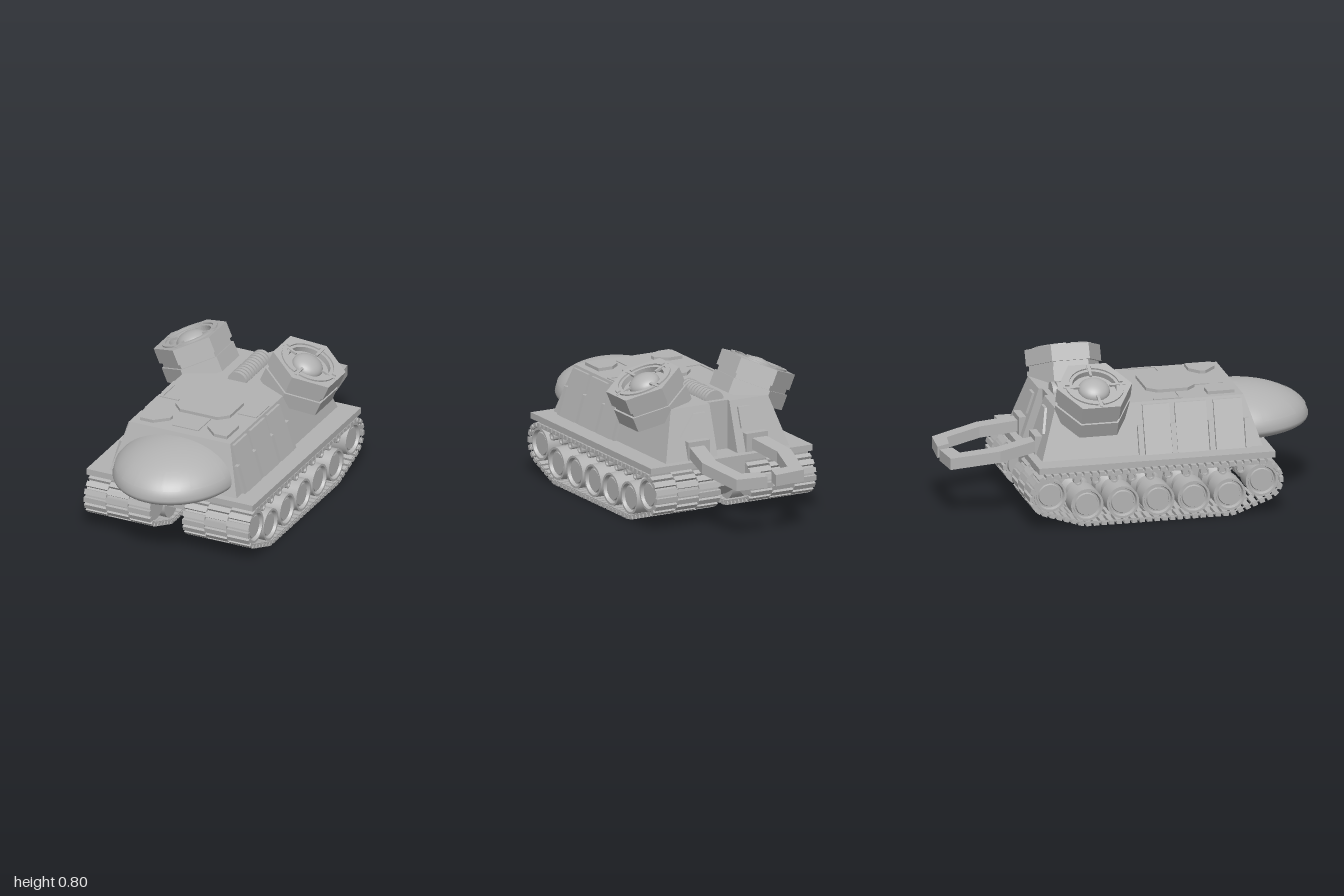
import * as THREE from 'three';
import { mergeGeometries, toCreasedNormals } from 'three/addons/utils/BufferGeometryUtils.js';

const grey = new THREE.MeshStandardMaterial({ color: 0xb2b2b2 });
grey.name = 'plain grey';

function add(parent, name, geometry) {
  const mesh = new THREE.Mesh(geometry, grey);
  mesh.name = name;
  parent.add(mesh);
  return mesh;
}

const box = (w, h, d, x, y, z) => new THREE.BoxGeometry(w, h, d).translate(x, y, z);
const flip = (range, s) => (s > 0 ? range : [-range[1], -range[0]]);

// Box whose bottom and top rectangles differ
function taperedBox(y0, y1, bx, bz, tx, tz) {
  const g = new THREE.BoxGeometry(1, 1, 1), p = g.attributes.position;
  for (let i = 0; i < p.count; i++) {
    const top = p.getY(i) > 0, xs = top ? tx : bx, zs = top ? tz : bz;
    p.setXYZ(i, xs[p.getX(i) > 0 ? 1 : 0], top ? y1 : y0, zs[p.getZ(i) > 0 ? 1 : 0]);
  }
  g.computeVertexNormals();
  return g;
}

// Flat plate from an outline in x and z
function plate(points, y, height, s = 1) {
  const shape = new THREE.Shape(points.map(([x, z]) => new THREE.Vector2(s * x, -z)));
  return new THREE.ExtrudeGeometry(shape, { depth: height, bevelEnabled: false })
    .rotateX(-Math.PI / 2).translate(0, y, 0);
}

// Lathe profile of [radius, x] turned onto the x axis
function axleLathe(points, s, segments) {
  const g = new THREE.LatheGeometry(points.map(([r, h]) => new THREE.Vector2(r, h)), segments);
  return toCreasedNormals(g.rotateZ(-s * Math.PI / 2), 0.6);
}

// Track loop in z and y around the end wheels and the low wheels
function trackLoop(r, Type) {
  const path = new Type(), down = -Math.PI / 2;
  path.absarc(0.64, 0.18, r, Math.PI / 2, -1.2, true);
  path.absarc(0.465, 0.115, r, -1.2, down, true);
  path.absarc(-0.31, 0.115, r, down, -1.89, true);
  path.absarc(-0.51, 0.18, r, -1.89, -1.5 * Math.PI, true);
  path.closePath();
  return path;
}

function buildRunningGear(root, s) {
  const gear = new THREE.Group();
  gear.name = s > 0 ? 'leftTrack' : 'rightTrack';
  root.add(gear);

  // Continuous belt
  const loop = trackLoop(0.1, THREE.Shape);
  loop.holes.push(trackLoop(0.09, THREE.Path));
  const belt = new THREE.ExtrudeGeometry(loop, { depth: 0.38, bevelEnabled: false, curveSegments: 12 })
    .rotateY(-Math.PI / 2).translate(s > 0 ? 0.48 : -0.1, 0, 0);
  add(gear, 'trackBelt', toCreasedNormals(belt, 0.5));

  // Three staggered columns of links
  const n = 144, pts = trackLoop(0.105, THREE.Path).getSpacedPoints(n), links = [];
  for (let col = 0; col < 3; col++) {
    for (let i = col % 2; i < n; i += 2) {
      const a = pts[(i + n - 1) % n], b = pts[(i + 1) % n];
      links.push(new THREE.BoxGeometry(0.129, 0.02, 0.028)
        .rotateX(-Math.atan2(b.y - a.y, b.x - a.x))
        .translate(s * (0.16 + col * 0.13), pts[i].y, pts[i].x));
    }
  }
  add(gear, 'trackLinks', mergeGeometries(links));

  // Road wheels with dished faces
  const profile = [[0, 0.11], [0.082, 0.11], [0.082, 0.2], [0.06, 0.23], [0.06, 0.32], [0.088, 0.35],
    [0.088, 0.475], [0.076, 0.475], [0.07, 0.455], [0.062, 0.455], [0.058, 0.465], [0, 0.465]];
  const wheels = [[0.64, 0.18], [0.465, 0.115], [0.27, 0.115], [0.077, 0.115],
    [-0.115, 0.115], [-0.31, 0.115], [-0.51, 0.18]];
  for (const [z, y] of wheels) add(gear, 'wheel', axleLathe(profile, s, 32)).position.set(0, y, z);

  // Small return rollers
  const roller = [[0, 0.11], [0.016, 0.11], [0.016, 0.42], [0.023, 0.43], [0.023, 0.465],
    [0.015, 0.465], [0.013, 0.455], [0, 0.455]];
  for (let i = 0; i < 10; i++) {
    add(gear, 'returnRoller', axleLathe(roller, s, 14)).position.set(0, 0.247, 0.53 - i * 0.0985);
  }
}

function hexShape(r) {
  const pts = [];
  for (let i = 0; i < 6; i++) {
    const a = Math.PI / 2 + i * Math.PI / 3;
    pts.push(new THREE.Vector2(r * Math.cos(a), r * Math.sin(a)));
  }
  return new THREE.Shape(pts);
}

function buildPod(root, s) {
  const pod = new THREE.Group();
  pod.name = s > 0 ? 'leftPod' : 'rightPod';
  pod.position.set(s * 0.352, 0.73, -0.24);
  pod.rotation.z = -s * 0.407;
  root.add(pod);
  const up = (g, y) => g.rotateX(-Math.PI / 2).translate(0, y, 0);
  const flat = { bevelEnabled: false, curveSegments: 24 };

  // Upper housing with a round well
  const head = hexShape(0.205);
  head.holes.push(new THREE.Path().absarc(0, 0, 0.118, 0, Math.PI * 2, true));
  add(pod, 'podHeadRim', up(new THREE.ExtrudeGeometry(head, { ...flat, depth: 0.03 }), -0.03));
  add(pod, 'podHead', up(new THREE.ExtrudeGeometry(hexShape(0.205), { ...flat, depth: 0.057 }), -0.087));
  add(pod, 'podNeck', up(new THREE.ExtrudeGeometry(hexShape(0.19), { ...flat, depth: 0.04 }), -0.122));
  add(pod, 'podBase', up(new THREE.ExtrudeGeometry(hexShape(0.203), { ...flat, depth: 0.085 }), -0.2));

  // Domed lens
  add(pod, 'lens', new THREE.SphereGeometry(0.085, 28, 10, 0, Math.PI * 2, 0, Math.PI / 2)
    .scale(1, 0.62, 1).translate(0, -0.03, 0));

  // Four ring arcs and spokes
  for (let i = 0; i < 4; i++) {
    const a = i * Math.PI / 2, arc = new THREE.Shape();
    arc.absarc(0, 0, 0.157, a + 0.09, a + Math.PI / 2 - 0.09, false);
    arc.absarc(0, 0, 0.135, a + Math.PI / 2 - 0.09, a + 0.09, true);
    add(pod, 'ringArc', up(new THREE.ExtrudeGeometry(arc, { ...flat, depth: 0.01 }), -0.001));
    add(pod, 'spoke', box(0.085, 0.012, 0.014, 0.125, -0.002, 0).rotateY(a));
  }
}

// Part of the cockpit shell, angles measured from straight ahead
function shell(from, to, top, bottom, k) {
  const g = new THREE.SphereGeometry(1, Math.ceil((to - from) * 9) + 2, Math.ceil((bottom - top) * 12) + 2,
    Math.PI + from, to - from, top, bottom - top).rotateY(-Math.PI / 2);
  const p = g.attributes.position;
  for (let i = 0; i < p.count; i++) {
    const y = p.getY(i), v = y > 0 ? 0.185 * y : -0.085 * Math.pow(-y, 0.9);
    p.setXYZ(i, p.getX(i) * 0.335 * k, 0.4 + v * k, 0.6 + p.getZ(i) * 0.4 * k);
  }
  g.computeVertexNormals();
  return g;
}

function buildSide(root, s) {
  const name = s > 0 ? 'left' : 'right';
  // Hull half, beside the rear notch
  add(root, name + 'Hull', taperedBox(0.335, 0.605, flip([0.06, 0.375], s), [-0.53, 0.67],
    flip([0.06, 0.295], s), [-0.44, 0.585]));

  // Sloping side panels and short ribs
  for (const [z0, z1] of [[0.415, 0.57], [0.205, 0.375], [0.03, 0.175]]) {
    add(root, name + 'SidePanel', taperedBox(0.34, 0.592, flip([0.36, 0.395], s), [z0, z1],
      flip([0.28, 0.312], s), [z0, z1]));
  }
  for (const z of [0.59, 0.395, 0.19, 0.01]) {
    add(root, name + 'SideRib', taperedBox(0.34, 0.49, flip([0.36, 0.392], s), [z - 0.014, z + 0.014],
      flip([0.31, 0.348], s), [z - 0.014, z + 0.014]));
  }

  // Roof plate, roof strips and rear panel
  add(root, name + 'RoofPlate', plate([[0.17, 0.4], [0.255, 0.4], [0.255, 0.545], [0.18, 0.545],
    [0.11, 0.48], [0.11, 0.45]], 0.6, 0.022, s));
  add(root, name + 'RoofStrip', plate([[0.27, 0.1], [0.285, 0.1], [0.285, 0.255], [0.175, 0.255],
    [0.175, 0.242], [0.27, 0.242]], 0.602, 0.008, s));
  add(root, name + 'RearPanel', taperedBox(0.46, 0.57, flip([0.1, 0.27], s), [-0.503, -0.47],
    flip([0.1, 0.17], s), [-0.466, -0.44]));

  // Hooked grabber arm, sheared downwards to the rear
  const arm = plate([[0.22, -0.46], [0.27, -0.73], [0.205, -0.985], [0.025, -1], [0.035, -0.935],
    [0.14, -0.92], [0.185, -0.73], [0.13, -0.46]], 0, 0.062, s);
  const p = arm.attributes.position;
  for (let i = 0; i < p.count; i++) p.setY(i, p.getY(i) + 0.355 + 0.16 * (p.getZ(i) + 0.5));
  arm.computeVertexNormals();
  add(root, name + 'GrabberArm', arm);
  add(root, name + 'ArmMount', box(0.13, 0.1, 0.06, s * 0.175, 0.388, -0.505));
}

export function createModel() {
  const root = new THREE.Group();
  root.name = 'trackedVehicle';

  // Deck, hull centre and belly
  add(root, 'deck', box(0.98, 0.034, 1.285, 0, 0.322, 0.068));
  add(root, 'hullCentre', taperedBox(0.335, 0.605, [-0.06, 0.06], [-0.42, 0.67], [-0.06, 0.06], [-0.42, 0.585]));
  const belly = new THREE.Shape([[0.62, 0.31], [0.62, 0.175], [0.42, 0.065], [-0.33, 0.065],
    [-0.54, 0.175], [-0.54, 0.31]].map(([z, y]) => new THREE.Vector2(z, y)));
  add(root, 'belly', new THREE.ExtrudeGeometry(belly, { depth: 0.2, bevelEnabled: false })
    .rotateY(-Math.PI / 2).translate(0.1, 0, 0));

  for (const s of [1, -1]) {
    buildSide(root, s);
    buildRunningGear(root, s);
    buildPod(root, s);
  }

  // Roof hatch, front roof panel and ribbed roll
  add(root, 'roofHatch', plate([[-0.11, 0.1], [0.11, 0.1], [0.16, 0.15], [0.16, 0.315], [0.11, 0.365],
    [-0.11, 0.365], [-0.16, 0.315], [-0.16, 0.15]], 0.6, 0.022));
  add(root, 'frontRoofPanel', box(0.155, 0.008, 0.155, 0, 0.606, 0.45));
  add(root, 'rollCore', new THREE.CylinderGeometry(0.045, 0.045, 0.28, 24).rotateX(Math.PI / 2).translate(0, 0.6, -0.24));
  for (let i = 0; i < 11; i++) {
    add(root, 'rollRib', new THREE.CylinderGeometry(0.056, 0.056, 0.019, 24)
      .rotateX(Math.PI / 2).translate(0, 0.6, -0.38 + i * 0.028));
  }

  // Cockpit shell, windows and waist band
  add(root, 'cockpit', shell(-Math.PI, Math.PI, 0, Math.PI, 1));
  for (const [a, b] of [[-1.35, -0.72], [-0.56, -0.28], [-0.25, 0.25], [0.28, 0.56], [0.72, 1.35]]) {
    add(root, 'window', shell(a, b, 0.83, 1.29, 1.01));
  }
  add(root, 'cockpitBand', shell(-1.6, 1.6, 1.46, 1.57, 1.005));
  return root;
}
